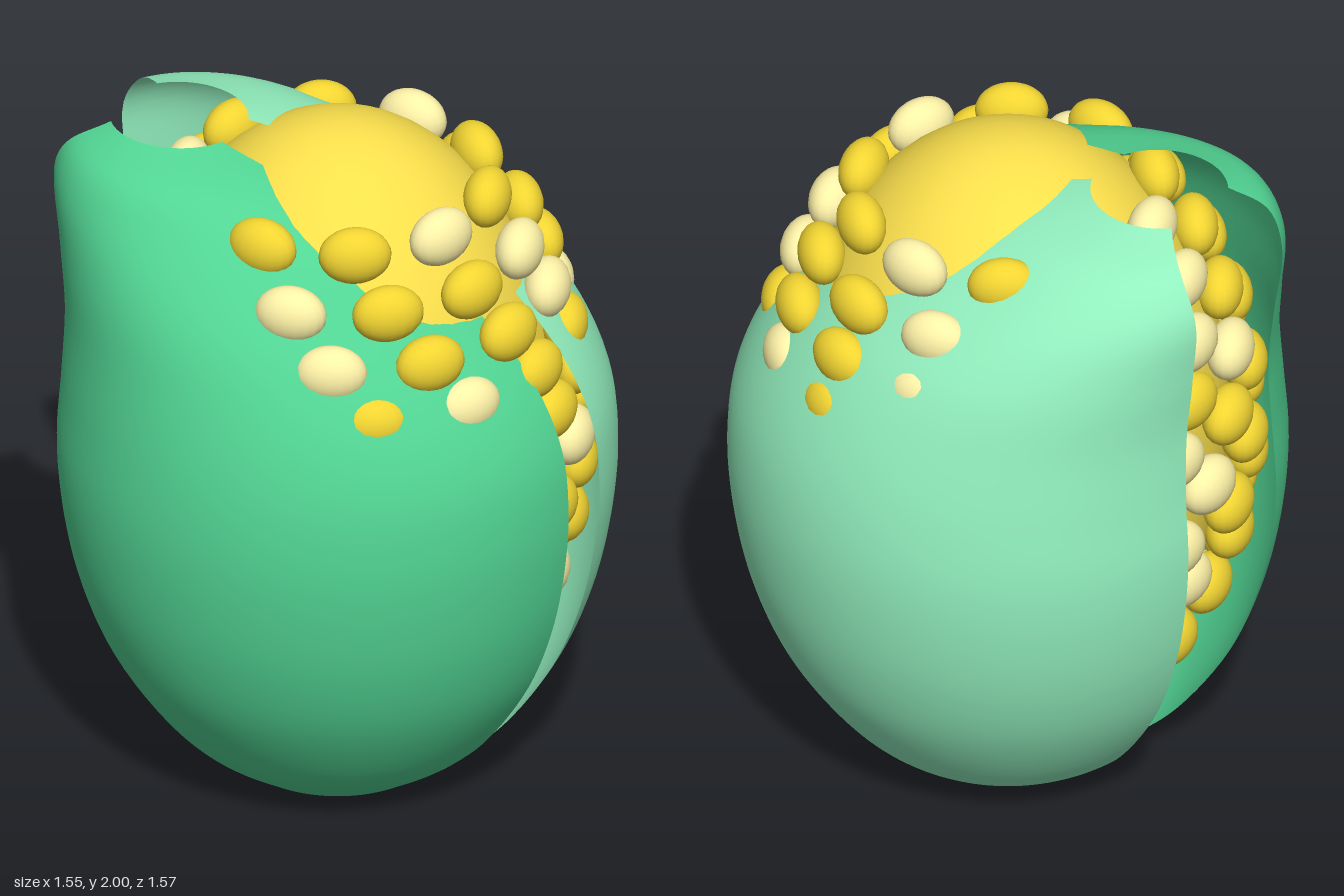
import * as THREE from 'three';

const rad = THREE.MathUtils.degToRad;
const paint = (color, side = THREE.FrontSide) => new THREE.MeshStandardMaterial({ color, side });

// Husk profile: (radius, height, sideways lean of the ring centre)
const huskProfile = new THREE.CatmullRomCurve3([
  [0.28, 0, 0], [0.425, 0.1, 0], [0.52, 0.2, 0], [0.65, 0.4, 0], [0.728, 0.6, 0],
  [0.77, 0.8, 0], [0.785, 1, 0], [0.767, 1.2, -0.005], [0.715, 1.4, -0.05], [0.63, 1.6, -0.155],
  [0.47, 1.8, -0.335], [0.355, 1.9, -0.4], [0.19, 1.96, -0.445],
].map((p) => new THREE.Vector3(...p)));

// One husk leaf between two seams; each seam is [angle low down, angle at the tip]
function huskLeaf(name, color, start, end) {
  const geo = new THREE.PlaneGeometry(1, 1, 56, 64);
  const pos = geo.attributes.position;
  const p = new THREE.Vector3();
  for (let i = 0; i < pos.count; i++) {
    const u = pos.getX(i) + 0.5, v = pos.getY(i) + 0.5;
    huskProfile.getPoint(v, p);
    // seams gape open towards the tip, which also drifts forwards
    const open = Math.max(0, (p.y - 1) / 0.96) ** 5;
    const drift = 0.12 * (p.y / 1.96) ** 8;
    // shoulder below the tip reaches out towards +x
    const shoulder = 0.3 * Math.exp(-(((p.y - 1.8) / 0.12) ** 2));
    const a = THREE.MathUtils.lerp(start[0], start[1], open);
    const b = THREE.MathUtils.lerp(end[0], end[1], open);
    const angle = b + (a - b) * u;
    const c = Math.cos(angle);
    pos.setXYZ(i, p.z + p.x * (c + shoulder * Math.max(c, 0)), p.y, drift + p.x * Math.sin(angle));
  }
  geo.computeVertexNormals();
  const mesh = new THREE.Mesh(geo, paint(color, THREE.DoubleSide));
  mesh.name = name;
  return mesh;
}

export function createModel() {
  const model = new THREE.Group();
  model.name = 'huskedCob';

  // Core: tall ellipsoid
  const cy = 1.08, ry = 0.92, rx = 0.62;
  const core = new THREE.Mesh(new THREE.SphereGeometry(1, 48, 32), paint(0xfbe04c));
  core.name = 'core';
  core.scale.set(rx, ry, rx);
  core.position.y = cy;
  model.add(core);

  // Kernels: rings of flattened beads, [height, phase in degrees, pale beads]
  const rows = [
    [1.81, 18, [0, 4, 7]], [1.67, 15, [2, 5, 8, 11]], [1.525, 7, [2, 6, 9, 12]],
    [1.385, 0, [1, 6, 12]], [1.24, -4, [3, 8, 9]], [1.09, 8, [7, 14]], [0.94, -4, [5, 8, 12]],
    [0.8, 3, [0, 7, 8]], [0.66, 11, [7, 13]], [0.52, -4, [5, 9]], [0.37, -1, [0, 6]],
  ];
  const kernelGeo = new THREE.SphereGeometry(1, 20, 14);
  const gold = paint(0xf2d532), pale = paint(0xfff3a8);
  const kernels = new THREE.Group();
  kernels.name = 'kernels';
  for (const [y, phase, paleOnes] of rows) {
    const r = rx * Math.sqrt(1 - ((y - cy) / ry) ** 2) + 0.05;
    const count = Math.round((2 * Math.PI * r) / 0.28);
    for (let k = 0; k < count; k++) {
      const a = rad(phase) + (k / count) * 2 * Math.PI;
      const kernel = new THREE.Mesh(kernelGeo, paleOnes.includes(k) ? pale : gold);
      kernel.name = 'kernel';
      kernel.scale.set(0.103, 0.083, 0.067);
      kernel.position.set(r * Math.cos(a), y, r * Math.sin(a));
      kernel.rotation.y = Math.PI / 2 - a;
      kernels.add(kernel);
    }
  }
  model.add(kernels);

  // Husk: two leaves with a narrow seam on +x and a wider one on -x
  const PI = Math.PI;
  model.add(huskLeaf('frontHusk', 0x52d594, [0.09, 0.4], [PI - 0.35, PI - 0.7]));
  model.add(huskLeaf('backHusk', 0x92efbe, [PI + 0.22, PI + 0.75], [2 * PI - 0.145, 2 * PI - 0.4]));

  // Stem: flared plug in the base
  const stem = new THREE.Mesh(new THREE.CylinderGeometry(0.3, 0.19, 0.21, 40), paint(0x52d594));
  stem.name = 'stem';
  stem.position.y = 0.135;
  model.add(stem);

  return model;
}
